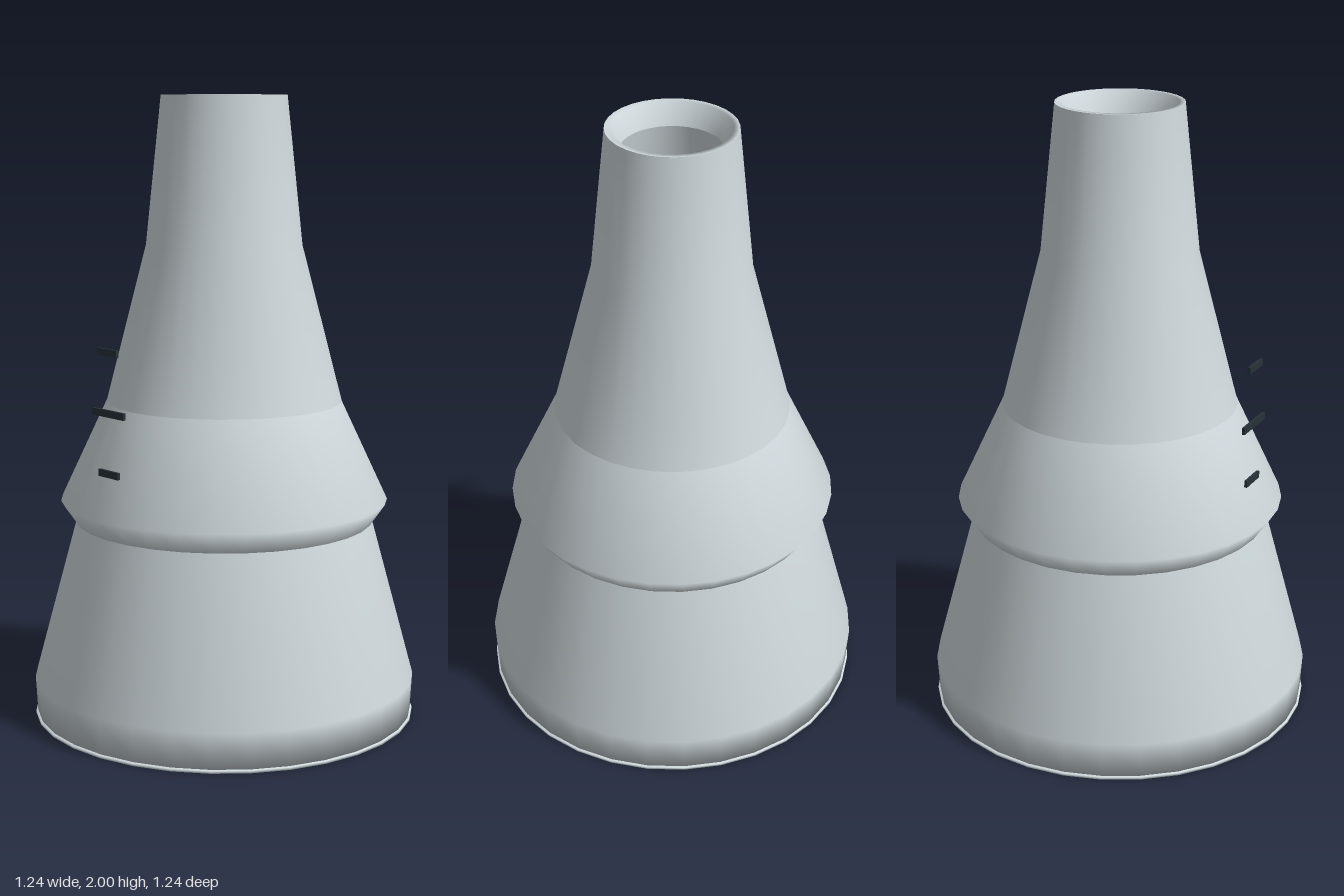
import * as THREE from 'three';

const SEGMENTS = 32;

export function createModel() {
  const group = new THREE.Group();
  const glass = new THREE.MeshStandardMaterial({ color: 0xcfd8dc });
  glass.name = 'pale glass';
  const ink = new THREE.MeshStandardMaterial({ color: 0x263238 });
  ink.name = 'dark marking';

  // One revolved band, smooth within itself and sharp against its neighbours
  function band(name, points) {
    const profile = points.map(([r, y]) => new THREE.Vector2(r, y));
    const mesh = new THREE.Mesh(new THREE.LatheGeometry(profile, SEGMENTS), glass);
    mesh.name = name;
    group.add(mesh);
  }

  // Outer wall, bottom to top
  band('basePlate', [[0, 0], [0.622, 0], [0.622, 0.008], [0.6, 0.012]]);
  band('lowerBody', [[0, 0.01], [0.616, 0.01], [0.622, 0.125], [0.482, 0.64]]);
  band('collar', [[0.482, 0.64], [0.53, 0.71], [0.38, 1.03]]);
  band('shoulderAndNeck', [[0.38, 1.03], [0.25, 1.53], [0.2, 2]]);
  band('rim', [[0.2, 2], [0.182, 2], [0.155, 1.93]]);

  // Inside of the vessel, top to bottom: faces the axis
  band('lining', [[0.155, 1.93], [0.23, 1.53], [0.36, 1.03], [0.46, 0.64], [0.6, 0.125]]);
  band('floor', [[0.6, 0.125], [0.6, 0.03], [0, 0.03]]);

  // Measuring marks floating in front of the body
  for (const [y, width] of [[0.847, 0.095], [1.036, 0.155], [1.225, 0.095]]) {
    const mark = new THREE.Mesh(new THREE.BoxGeometry(width, 0.022, 0.0095), ink);
    mark.name = 'measuringMark';
    mark.position.set(0, y, 0.47);
    group.add(mark);
  }
  return group;
}
